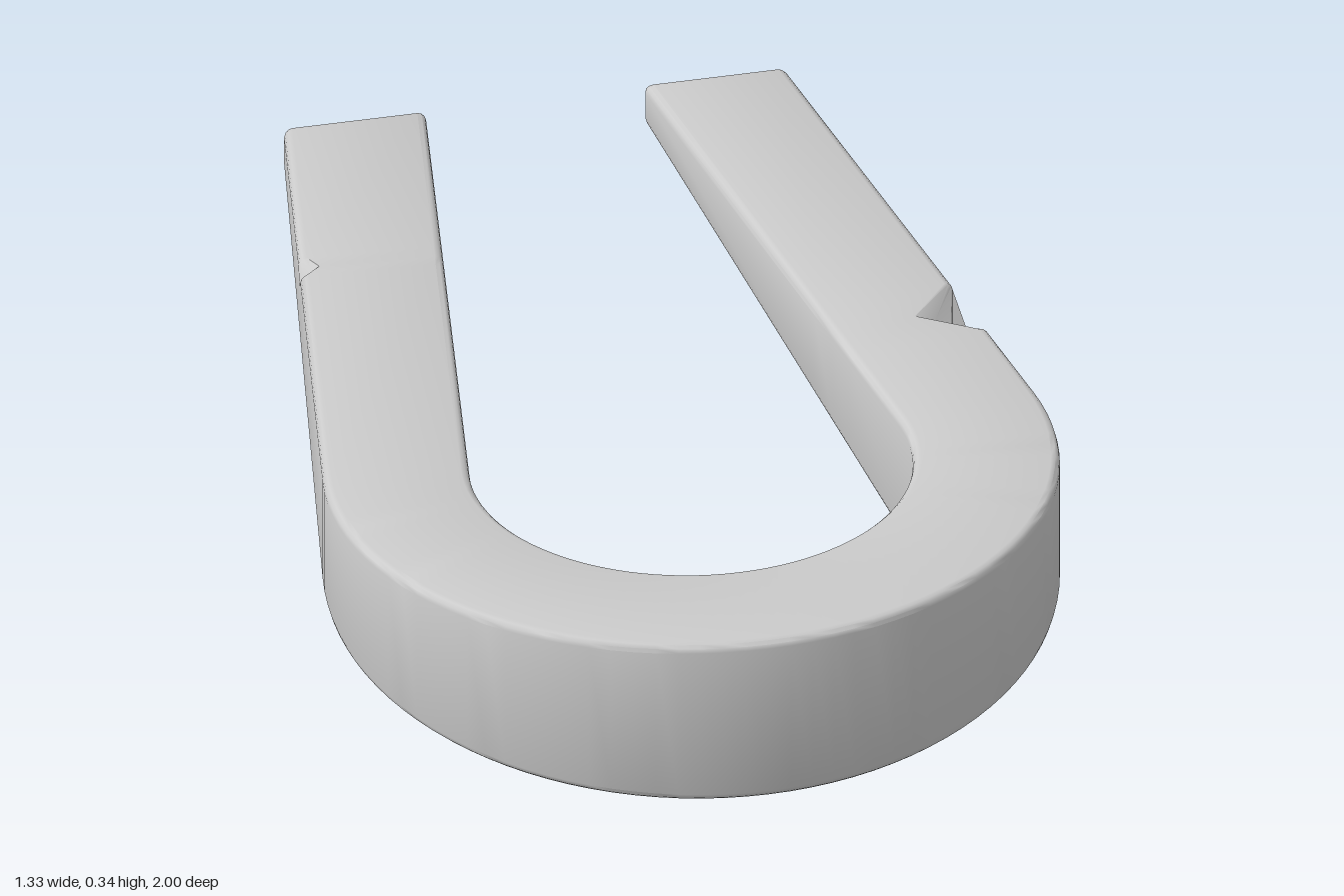
import * as THREE from 'three';
import { toCreasedNormals } from 'three/addons/utils/BufferGeometryUtils.js';

const lerp = THREE.MathUtils.lerp;
const BEVEL = 0.016;
const CENTRE_Z = 0.335, R_IN = 0.4, R_OUT = 0.665;
const TILT = 0.16; // how far the bend runs past the half circle
const STEPS = 3; // segments per rounded edge

// A point on the bend at an angle measured from the front
const onBend = (r, a) => [r * Math.sin(a), CENTRE_Z + r * Math.cos(a)];

// Stations across one leg, from the bend (t = 0) to the tip (t = 1)
function legStations(side, notch) {
  const a = Math.PI / 2 + TILT;
  const i0 = onBend(R_IN, a), o0 = onBend(R_OUT, a);
  const at = (t, inset = 0, cut = 0) => ({
    inner: [side * lerp(i0[0], 0.2, t), lerp(i0[1], -1, t)],
    outer: [side * lerp(o0[0], 0.462, t), lerp(o0[1], -1, t)],
    inset, cut, notch,
  });
  const list = [at(notch.from), at(notch.tip, 0, 1), at(notch.to)];
  for (let k = 0; k <= STEPS; k++) {
    const b = (k / STEPS) * Math.PI / 2;
    list.push(at(1 - (BEVEL / 1.25) * (1 - Math.sin(b)), BEVEL * (1 - Math.cos(b))));
  }
  return list;
}

// Rounded rectangle across the bar; a notch widens the outer top edge into a chamfer
function section({ inner, outer, inset, cut = 0, notch }) {
  const width = Math.hypot(outer[0] - inner[0], outer[1] - inner[1]);
  const r = Math.max(BEVEL - inset, 0.002);
  const pts = [];
  const corners = [[1, 0], [1, 1], [0, 1], [0, 0]]; // (outer, top) flags
  corners.forEach(([o, top], q) => {
    for (let k = 0; k <= STEPS; k++) {
      const f = k / STEPS, a = (q - 1 + f) * Math.PI / 2;
      // distances in from the sharp corner
      let dw = inset + r * (1 - Math.abs(Math.cos(a)));
      let dy = inset + r * (1 - Math.abs(Math.sin(a)));
      if (q === 1 && cut) {
        dw = notch.depth * f;
        dy = notch.drop * (1 - f);
      }
      const w = o ? 1 - dw / width : dw / width;
      const x = lerp(inner[0], outer[0], w), z = lerp(inner[1], outer[1], w);
      const half = 0.106 + 0.064 * z; // thins towards the tips
      pts.push(new THREE.Vector3(x, 0.17 + (top ? half - dy : dy - half), z));
    }
  });
  return pts;
}

function barGeometry() {
  const smallNotch = { from: 0.57, tip: 0.592, to: 0.618, depth: 0.036, drop: 0.04 };
  const bigNotch = { from: 0.188, tip: 0.255, to: 0.328, depth: 0.106, drop: 0.075 };
  const stations = legStations(-1, smallNotch).reverse();
  const sweep = Math.PI / 2 + TILT, n = 56;
  for (let k = 0; k <= n; k++) {
    const a = lerp(-sweep, sweep, k / n);
    stations.push({ inner: onBend(R_IN, a), outer: onBend(R_OUT, a), inset: 0 });
  }
  stations.push(...legStations(1, bigNotch));

  // Join the sections and close both tips
  const rings = stations.map(section), m = rings[0].length;
  const pos = [];
  const tri = (...v) => v.forEach((p) => pos.push(p.x, p.y, p.z));
  for (let i = 0; i < rings.length - 1; i++) {
    for (let j = 0; j < m; j++) {
      const j2 = (j + 1) % m, A = rings[i], B = rings[i + 1];
      tri(A[j], B[j], A[j2]);
      tri(A[j2], B[j], B[j2]);
    }
  }
  const cap = (ring, flip) => {
    const c = ring.reduce((s, p) => s.add(p), new THREE.Vector3()).divideScalar(m);
    ring.forEach((p, j) => {
      const q = ring[(j + 1) % m];
      if (flip) tri(c, q, p);
      else tri(c, p, q);
    });
  };
  cap(rings[0], false);
  cap(rings[rings.length - 1], true);

  const g = new THREE.BufferGeometry();
  g.setAttribute('position', new THREE.Float32BufferAttribute(pos, 3));
  return toCreasedNormals(g, 0.6);
}

export function createModel() {
  const group = new THREE.Group();
  group.name = 'horseshoe';
  const bar = new THREE.Mesh(barGeometry(), new THREE.MeshStandardMaterial({ color: 0xcccccc }));
  bar.name = 'curvedBar';
  group.add(bar);
  return group;
}
